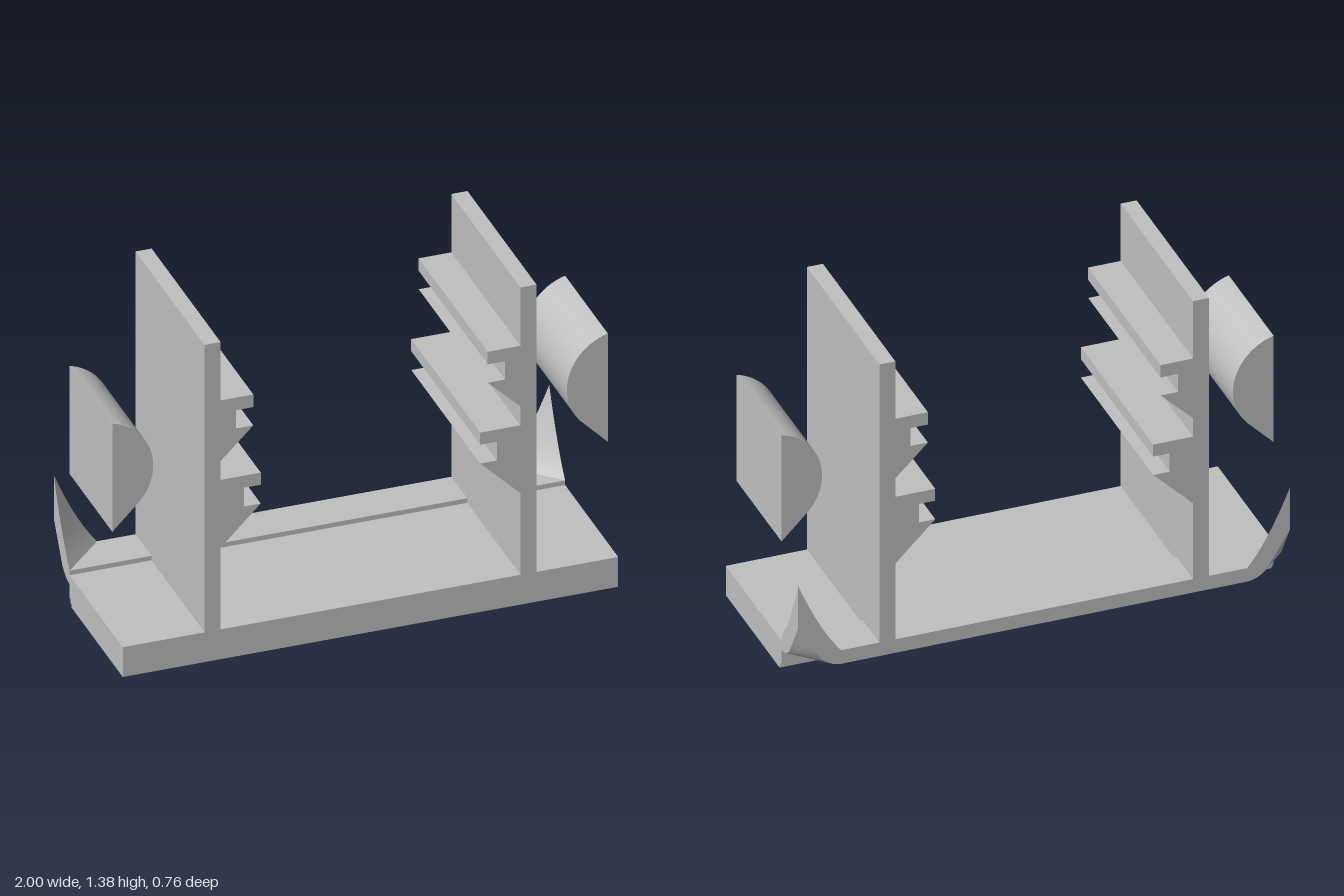
import * as THREE from 'three';
import { toCreasedNormals } from 'three/addons/utils/BufferGeometryUtils.js';

const grey = new THREE.MeshStandardMaterial({ color: 0xc0c0c0 });
grey.name = 'light grey';

const BACK = -0.38, FRONT = 0.38, STEP = -0.205;

function extrude(points, depth) {
  const shape = points instanceof THREE.Shape
    ? points
    : new THREE.Shape(points.map(([x, y]) => new THREE.Vector2(x, y)));
  return new THREE.ExtrudeGeometry(shape, { depth, bevelEnabled: false, curveSegments: 24 });
}

// Upturned corner of the rear lip: a sheet bent along the diagonal to a point
function cornerEar(side) {
  const pos = [], idx = [];
  const rows = [0, 0.02, 0.04, 0.06, 0.08, 0.105, 0.13, 0.155, 0.175];
  for (const t of rows) {
    const top = 0.15 + 1.2 * t + 3.7 * t * t;
    const low = t < 0.08 ? 0.09 + 6 * t * t : 0.1284 + 1.65 * (t - 0.08);
    const ax = side * (0.825 + t), bz = STEP - t;
    pos.push(ax, top, BACK, side, top, bz, side, low, bz, ax, low, BACK);
  }
  for (let k = 0; k < rows.length - 1; k++) {
    for (let j = 0; j < 4; j++) {
      const a = k * 4 + j, b = k * 4 + (j + 1) % 4, c = b + 4, d = a + 4;
      if (side > 0) idx.push(a, b, c, a, c, d);
      else idx.push(a, c, b, a, d, c);
    }
  }
  const geo = new THREE.BufferGeometry();
  geo.setAttribute('position', new THREE.Float32BufferAttribute(pos, 3));
  geo.setIndex(idx);
  return toCreasedNormals(geo, 0.6);
}

export function createModel() {
  const model = new THREE.Group();
  const add = (name, geo) => {
    const mesh = new THREE.Mesh(geo, grey);
    mesh.name = name;
    model.add(mesh);
    return mesh;
  };

  // Base slab, cut as side profiles (-z, y) swept along x
  const stepped = [[-FRONT, 0], [0.185, 0], [0.185, 0.014], [0.196, 0.014], [0.196, 0.028],
    [-STEP, 0.028], [-STEP, 0.13], [-FRONT, 0.13]];
  const notched = [[-FRONT, 0], [0.12, 0], [0.12, 0.06], [-STEP, 0.06], [-STEP, 0.13], [-FRONT, 0.13]];
  const slab = (name, profile, x0, x1) =>
    add(name, extrude(profile, x1 - x0).rotateY(Math.PI / 2).translate(x0, 0, 0));
  slab('baseRight', stepped, -1, -0.3);
  slab('baseNotched', notched, -0.3, 0.3);
  slab('baseLeft', stepped, 0.3, 1);

  // Raised rear lip, with its corners cut where the ears bend up
  const lip = extrude([[-1, -STEP], [1, -STEP], [0.825, -BACK], [-0.825, -BACK]], 0.06);
  add('rearLip', lip.rotateX(-Math.PI / 2).translate(0, 0.09, 0));

  for (const side of [-1, 1]) {
    const label = side > 0 ? 'Left' : 'Right';
    const mirror = (pts) => pts.map(([x, y]) => [side * x, y]);

    add('cornerEar' + label, cornerEar(side));

    // Upright wall
    const wall = new THREE.BoxGeometry(0.065, 1.255, FRONT - BACK);
    add('wall' + label, wall.translate(side * 0.6375, 0.7575, 0));

    // Grooved shelf rails on the inner face
    const rails = {
      upperRail: [[0.605, 1.13], [0.473, 1.13], [0.473, 1.075], [0.543, 1.075],
        [0.543, 0.995], [0.473, 0.995], [0.605, 0.865]],
      lowerRail: [[0.605, 0.783], [0.443, 0.783], [0.443, 0.73], [0.51, 0.73],
        [0.51, 0.648], [0.443, 0.648], [0.605, 0.487]],
    };
    for (const [name, pts] of Object.entries(rails)) {
      add(name + label, extrude(mirror(pts), FRONT - BACK).translate(0, 0, BACK));
    }

    // Detached rounded block beside the wall: an arc running into a sloped underside
    const arc = [];
    const r = 0.222, cx = 1.057, cy = 0.83;
    const start = Math.acos((1 - cx) / r), end = Math.PI * 1.25;
    for (let i = 0; i <= 24; i++) {
      const a = start + (end - start) * i / 24;
      arc.push([cx + r * Math.cos(a), cy + r * Math.sin(a)]);
    }
    arc.push([1, 0.572]);
    const block = extrude(mirror(arc), 0.47).translate(0, 0, STEP);
    add('roundedBlock' + label, toCreasedNormals(block, 0.5));
  }

  return model;
}
